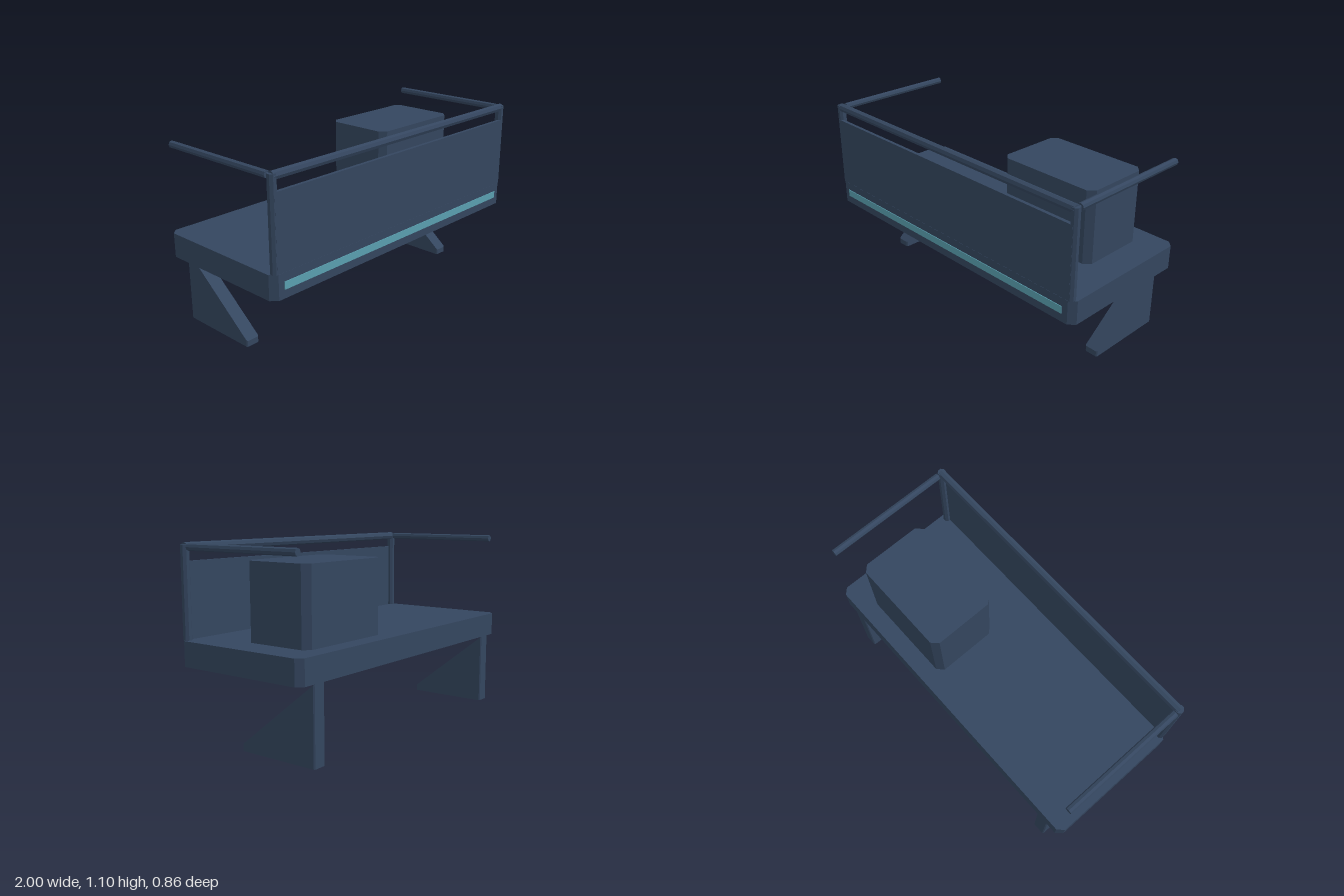
import * as THREE from 'three';

// Upright block with its four vertical corners chamfered
function chamferedBlock(w, h, d, c) {
  const x = w / 2, z = d / 2;
  const outline = new THREE.Shape([
    [x - c, -z], [x, -z + c], [x, z - c], [x - c, z],
    [-x + c, z], [-x, z - c], [-x, -z + c], [-x + c, -z],
  ].map(([a, b]) => new THREE.Vector2(a, b)));
  const geo = new THREE.ExtrudeGeometry(outline, { depth: h, bevelEnabled: false });
  return geo.rotateX(-Math.PI / 2);
}

export function createModel() {
  const model = new THREE.Group();
  model.name = 'counter';
  const navy = new THREE.MeshStandardMaterial({ color: 0x34465f, flatShading: true });
  navy.name = 'navy';
  const teal = new THREE.MeshStandardMaterial({ color: 0x5aa0b0 });
  teal.name = 'teal';

  function add(name, geo, material, x, y, z) {
    const mesh = new THREE.Mesh(geo, material);
    mesh.name = name;
    mesh.position.set(x, y, z);
    model.add(mesh);
    return mesh;
  }

  // Deck, cabinet and front screen
  add('deck', chamferedBlock(2, 0.141, 0.855, 0.035), navy, 0, 0.432, -0.0075);
  add('cabinet', chamferedBlock(0.645, 0.434, 0.427, 0.037), navy, 0.498, 0.573, -0.114);
  add('frontPanel', new THREE.BoxGeometry(1.94, 0.425, 0.02), navy, 0, 0.785, 0.409);

  // Light strip on the deck front
  add('lightStrip', new THREE.BoxGeometry(1.855, 0.043, 0.006), teal, 0, 0.503, 0.421);

  // Front rail
  const railY = 1.074, railZ = 0.395;
  add('frontRail', new THREE.CylinderGeometry(0.025, 0.025, 1.94, 8).rotateZ(Math.PI / 2),
    navy, 0, railY, railZ);

  // Leg bracket: the top slopes down from the back edge to the front toe
  const legGeo = chamferedBlock(0.083, 0.432, 0.5, 0.006);
  const pos = legGeo.attributes.position;
  for (let i = 0; i < pos.count; i++) {
    if (pos.getY(i) > 0.1) {
      pos.setY(i, THREE.MathUtils.lerp(0.432, 0.035, (pos.getZ(i) + 0.25) / 0.5));
    }
  }
  legGeo.computeVertexNormals();

  // Mirrored posts, side rails and legs
  const postGeo = new THREE.CylinderGeometry(0.025, 0.025, 0.516, 8).rotateY(Math.PI / 8);
  const sideRailGeo = new THREE.CylinderGeometry(0.0205, 0.0205, 0.765, 8).rotateX(Math.PI / 2);
  for (const [side, s] of [['left', 1], ['right', -1]]) {
    add(side + 'Post', postGeo, navy, s * 0.965, 0.83, railZ);
    add(side + 'Rail', sideRailGeo, navy, s * 0.965, railY, -0.0175);
    add(side + 'Leg', legGeo, navy, s * 0.857, 0, -0.185);
  }
  return model;
}
